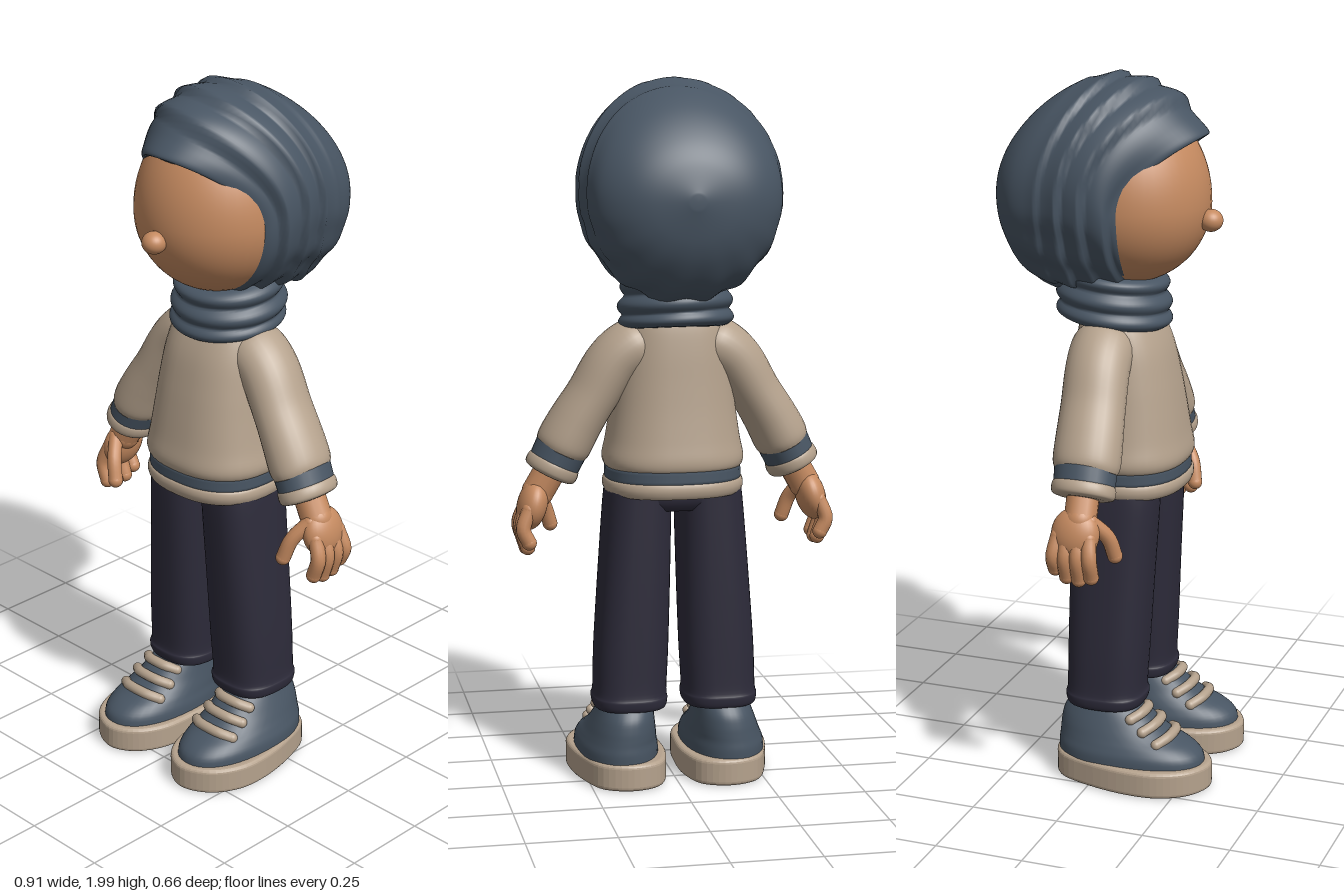
import * as THREE from 'three';

const mat = (name, color) => Object.assign(new THREE.MeshStandardMaterial({ color }), { name });
const V = (x, y, z) => new THREE.Vector3(x, y, z);

// Smoothly interpolates a list of number rows into n rows.
function resample(rows, n) {
  const at = i => rows[Math.max(0, Math.min(rows.length - 1, i))];
  return Array.from({ length: n }, (_, k) => {
    const u = (k / (n - 1)) * (rows.length - 1);
    const i = Math.min(Math.floor(u), rows.length - 2), t = u - i;
    return at(i).map((p, c) => {
      const q = at(i + 1)[c], m0 = (q - at(i - 1)[c]) / 2, m1 = (at(i + 2)[c] - p) / 2;
      return p + m0 * t + (3 * (q - p) - 2 * m0 - m1) * t * t + (2 * (p - q) + m0 + m1) * t * t * t;
    });
  });
}

// Closed skin over rings; point(ring, angle) gives each vertex.
function loft(rings, sides, point) {
  const pos = [], index = [];
  for (const ring of rings) {
    for (let j = 0; j < sides; j++) pos.push(...point(ring, (j / sides) * Math.PI * 2).toArray());
  }
  const last = (rings.length - 1) * sides;
  for (let i = 0; i < rings.length - 1; i++) {
    for (let j = 0; j < sides; j++) {
      const a = i * sides + j, b = i * sides + (j + 1) % sides;
      index.push(a, a + sides, b, b, a + sides, b + sides);
    }
  }
  for (const start of [0, last]) {
    const c = V(0, 0, 0), id = pos.length / 3;
    for (let j = 0; j < sides; j++) c.add(V(...pos.slice((start + j) * 3, (start + j) * 3 + 3)));
    pos.push(...c.divideScalar(sides).toArray());
    for (let j = 0; j < sides; j++) {
      const a = start + j, b = start + (j + 1) % sides;
      if (start === 0) index.push(id, a, b); else index.push(id, b, a);
    }
  }
  const g = new THREE.BufferGeometry();
  g.setAttribute('position', new THREE.Float32BufferAttribute(pos, 3));
  g.setIndex(index);
  g.computeVertexNormals();
  return g;
}

// Upright body from rows of [y, centre x, half width, front z, back z].
const power = (v, p) => Math.sign(v) * Math.abs(v) ** (2 / p);
const upright = (rows, n, p = 2.4) => loft(resample(rows, n), 40, ([y, cx, rx, zf, zb], a) =>
  V(cx + rx * power(Math.cos(a), p), y, (zf + zb) / 2 + (zf - zb) / 2 * power(Math.sin(a), p)));

// Tube along a curve, from rows of [curve position, in-plane radius, z radius].
const sweep = (curve, rows, n) => loft(resample(rows, n), 28, ([t, r, rz], a) => {
  const d = curve.getTangent(t), e = V(d.y, -d.x, 0).normalize();
  return curve.getPoint(t).addScaledVector(e, r * Math.cos(a)).add(V(0, 0, rz * Math.sin(a)));
});

export function createModel() {
  const scarf = mat('slate fabric', 0x485563), knit = mat('beige knit', 0xb5a28d);
  const skin = mat('skin', 0xc58a60), cloth = mat('dark trousers', 0x2d2b3a);
  const model = new THREE.Group();
  const add = (parent, name, geo, m) => {
    const mesh = new THREE.Mesh(geo, m);
    mesh.name = name;
    parent.add(mesh);
    return mesh;
  };
  const ball = (parent, name, m, p, s) => {
    const b = add(parent, name, new THREE.SphereGeometry(1, 32, 24), m);
    b.position.set(...p);
    b.scale.set(...s);
    return b;
  };
  const limb = (parent, name, m, points, r) => {
    const curve = new THREE.CatmullRomCurve3(points.map(p => V(...p)));
    add(parent, name, new THREE.TubeGeometry(curve, 10, r, 14), m);
    for (const p of [points[0], points[points.length - 1]]) ball(parent, name + 'End', m, p, [r, r, r]);
  };

  // Face, taller above the middle, and nose
  const face = new THREE.SphereGeometry(1, 48, 36), fp = face.attributes.position;
  for (let i = 0; i < fp.count; i++) {
    const y = fp.getY(i);
    fp.setXYZ(i, fp.getX(i) * 0.225, 1.65 + y * (y > 0 ? 0.28 : 0.225), 0.03 + fp.getZ(i) * 0.225);
  }
  face.computeVertexNormals();
  add(model, 'face', face, skin);
  ball(model, 'nose', skin, [0, 1.61, 0.263], [0.034, 0.031, 0.034]);

  // Head scarf: rings from the face opening to the back, rows of [depth, half width, top, bottom]
  const hood = [[0.06, 0.19, 1.83, 1.46], [0, 0.205, 1.845, 1.445], [0.06, 0.235, 1.885, 1.425],
    [0.15, 0.262, 1.945, 1.415], [0.3, 0.276, 1.982, 1.405], [0.45, 0.276, 1.994, 1.395],
    [0.6, 0.268, 1.975, 1.4], [0.75, 0.248, 1.925, 1.43], [0.87, 0.2, 1.86, 1.49],
    [0.95, 0.13, 1.79, 1.56], [1, 0.02, 1.7, 1.66]];
  add(model, 'headScarf', loft(resample(hood, 90), 96, ([s, rx, top, bottom], a) => {
    const c = Math.cos(a), n = Math.sin(a);
    const f = (((s * 6.5 + 0.45 * Math.cos(a - 0.7)) % 1) + 1) % 1;
    const layer = (f < 0.15 ? f / 0.15 : (1 - f) / 0.85) - 0.5;
    const fade = THREE.MathUtils.smoothstep(s, 0.02, 0.1) * (1 - THREE.MathUtils.smoothstep(s, 0.4, 0.65));
    const gather = Math.max(0, -n) * Math.sin(a * 15 + s * 5) * Math.sin(Math.PI * s) ** 2;
    const d = 0.018 * layer * fade + 0.007 * gather;
    const front = 0.08 + 0.17 * Math.max(0, n) ** 2;
    return V((rx + d) * c, (top + bottom) / 2 + ((top - bottom) / 2 + d) * n, THREE.MathUtils.lerp(front, -0.33, s));
  }), scarf);

  // Scarf rolls round the neck, dipping at the front
  const neck = [[1.315, 0.1], [1.325, 0.145], [1.36, 0.157], [1.41, 0.15], [1.46, 0.14], [1.48, 0.09]];
  add(model, 'neckScarf', loft(resample(neck, 50), 64, ([y, r], a) => {
    const n = Math.sin(a), wave = Math.abs(Math.sin((y - 1.31) * 58 + 0.5 * Math.cos(a + 0.5)));
    const q = r - 0.008 + 0.016 * wave;
    return V(q * Math.cos(a), y - 0.018 * n - 0.008, -0.015 + q * n);
  }), scarf);

  // Sweater body, stripe and hem
  add(model, 'sweaterBody', upright([[0.915, 0, 0.185, 0.19, -0.13], [0.925, 0, 0.195, 0.2, -0.14],
    [0.95, 0, 0.199, 0.204, -0.143], [1.0, 0, 0.189, 0.195, -0.136], [1.08, 0, 0.177, 0.182, -0.126],
    [1.16, 0, 0.167, 0.167, -0.118], [1.25, 0, 0.155, 0.145, -0.11], [1.32, 0, 0.138, 0.113, -0.1],
    [1.36, 0, 0.11, 0.08, -0.085], [1.38, 0, 0.06, 0.045, -0.06]], 40), knit);
  add(model, 'sweaterStripe', upright([[0.88, 0, 0.192, 0.197, -0.138], [0.925, 0, 0.191, 0.196, -0.137]], 4), scarf);
  add(model, 'sweaterHem', upright([[0.843, 0, 0.175, 0.178, -0.122], [0.845, 0, 0.19, 0.194, -0.135],
    [0.865, 0, 0.198, 0.203, -0.143], [0.884, 0, 0.195, 0.2, -0.14], [0.888, 0, 0.185, 0.19, -0.13]], 14), knit);

  // Trouser seat
  add(model, 'trouserSeat', upright([[0.8, 0, 0.15, 0.12, -0.075], [0.83, 0, 0.185, 0.148, -0.093],
    [0.88, 0, 0.18, 0.15, -0.095]], 8), cloth);

  for (const [side, sign] of [['left', 1], ['right', -1]]) {
    const half = new THREE.Group();
    half.name = side + 'Limbs';
    half.scale.x = sign;
    model.add(half);

    // Sleeve, stripe and cuff
    const path = new THREE.CatmullRomCurve3([V(0.08, 1.285, -0.005), V(0.165, 1.225, 0),
      V(0.235, 1.12, 0.01), V(0.29, 1.03, 0.018), V(0.355, 0.9, 0.025)]);
    add(half, 'sleeve', sweep(path, [[0, 0.06, 0.07], [0.1, 0.078, 0.088], [0.3, 0.077, 0.09], [0.5, 0.073, 0.091],
      [0.7, 0.076, 0.094], [0.83, 0.078, 0.095], [0.875, 0.07, 0.088]], 36), knit);
    add(half, 'sleeveStripe', sweep(path, [[0.85, 0.074, 0.088], [0.945, 0.072, 0.086]], 5), scarf);
    add(half, 'cuff', sweep(path, [[0.925, 0.066, 0.08], [0.935, 0.074, 0.088], [0.965, 0.077, 0.09],
      [0.99, 0.072, 0.085], [1, 0.055, 0.065]], 14), knit);

    // Hand with palm facing inward
    limb(half, 'wrist', skin, [[0.345, 0.92, 0.025], [0.385, 0.85, 0.03]], 0.045);
    ball(half, 'palm', skin, [0.402, 0.815, 0.022], [0.042, 0.072, 0.068]).rotation.z = 0.25;
    [0.073, 0.038, 0.003, -0.03].forEach((z, i) => {
      const drop = [0.01, 0, 0.005, 0.025][i];
      limb(half, 'finger', skin, [[0.415, 0.81, z * 0.85 + 0.003], [0.434, 0.755, z], [0.418, 0.692 + drop, z]], 0.021);
    });
    limb(half, 'thumb', skin, [[0.39, 0.85, 0.06], [0.358, 0.8, 0.098], [0.339, 0.742, 0.112]], 0.021);

    // Trouser leg
    add(half, 'trouserLeg', upright([[0.225, 0.13, 0.085, 0.1, -0.075], [0.23, 0.13, 0.102, 0.12, -0.095],
      [0.255, 0.13, 0.107, 0.127, -0.101], [0.28, 0.129, 0.103, 0.122, -0.097], [0.4, 0.124, 0.104, 0.128, -0.096],
      [0.6, 0.114, 0.1, 0.138, -0.095], [0.8, 0.104, 0.094, 0.149, -0.094], [0.87, 0.1, 0.09, 0.149, -0.094]], 36, 2.7), cloth);

    // Shoe sole
    const outline = [[0.15, 0.318], [0.225, 0.285], [0.27, 0.21], [0.277, 0.12], [0.255, 0], [0.215, -0.09], [0.14, -0.118],
      [0.068, -0.09], [0.036, 0], [0.033, 0.12], [0.045, 0.22], [0.088, 0.29]];
    const curve = new THREE.CatmullRomCurve3(outline.map(([x, z]) => V(x, -z, 0)), true);
    const shape = new THREE.Shape(curve.getPoints(60).slice(0, -1).map(p => new THREE.Vector2(p.x, p.y)));
    const sole = new THREE.ExtrudeGeometry(shape, { depth: 0.053, bevelSize: 0.012, bevelThickness: 0.012, bevelSegments: 4 });
    add(half, 'shoeSole', sole.rotateX(-Math.PI / 2).translate(0, 0.02, 0), knit);

    // Shoe upper
    add(half, 'shoeUpper', upright([[0.07, 0.155, 0.117, 0.31, -0.118], [0.105, 0.155, 0.115, 0.304, -0.12],
      [0.13, 0.153, 0.107, 0.275, -0.118], [0.15, 0.15, 0.1, 0.23, -0.117], [0.175, 0.147, 0.092, 0.185, -0.115],
      [0.205, 0.143, 0.083, 0.15, -0.108], [0.235, 0.138, 0.074, 0.11, -0.088], [0.25, 0.135, 0.06, 0.09, -0.07]], 28, 2.2), scarf);

    // Lace bars arched over the tongue
    for (const [y, z, w] of [[0.158, 0.213, 0.072], [0.188, 0.17, 0.068], [0.218, 0.132, 0.06]]) {
      limb(half, 'lace', knit, [[0.15 - w, y - 0.012, z - 0.022], [0.15 - w / 2, y, z], [0.15 + w / 2, y, z],
        [0.15 + w, y - 0.012, z - 0.022]], 0.015);
    }
  }
  return model;
}
